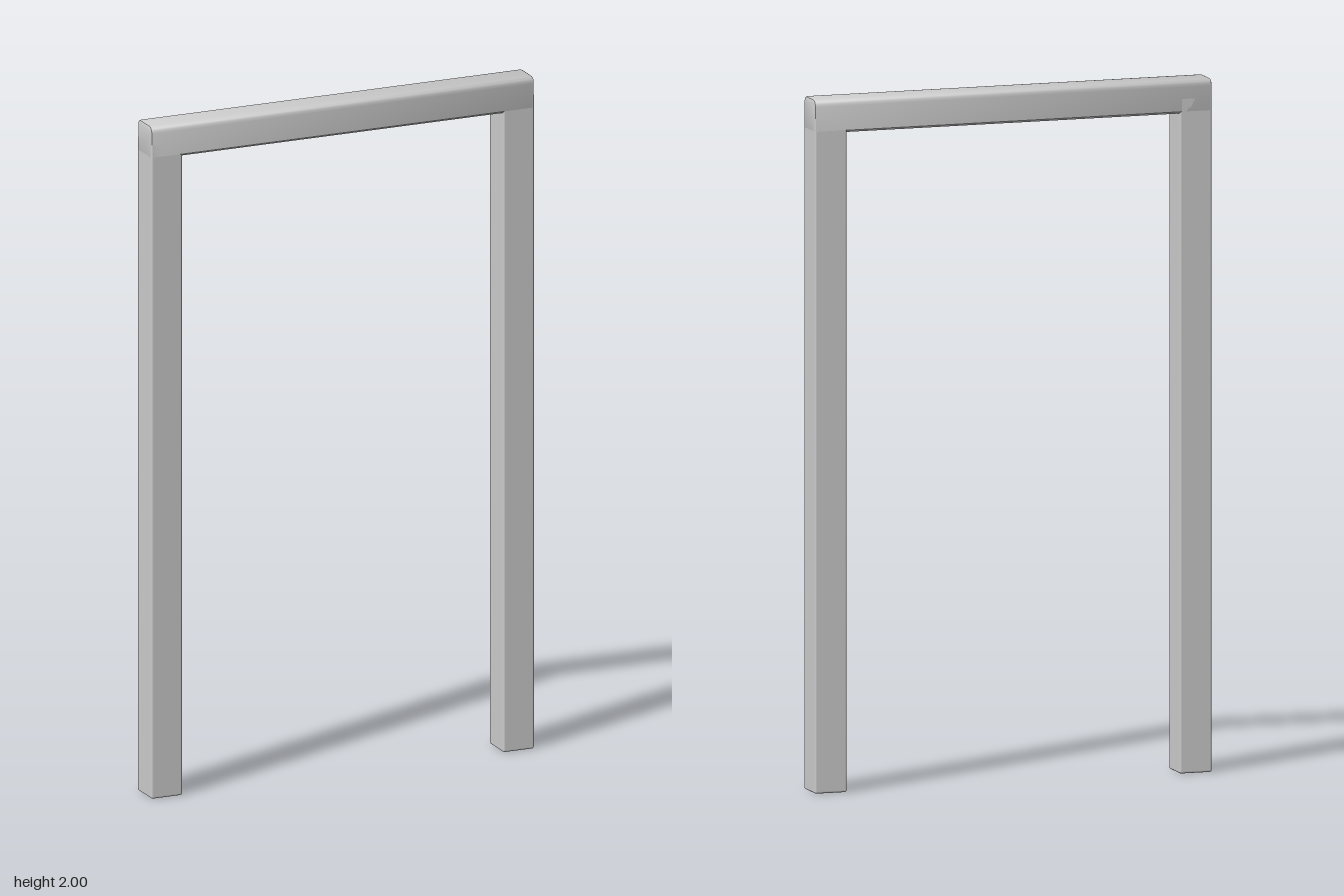
import * as THREE from 'three';
import { RoundedBoxGeometry } from 'three/addons/geometries/RoundedBoxGeometry.js';
import { toCreasedNormals } from 'three/addons/utils/BufferGeometryUtils.js';

const HALF_WIDTH = 0.598;
const HEIGHT = 2;
const BAR = 0.097; // thickness of the square bars
const EDGE = 0.006; // small softening of the edges
const TOP_RADIUS = 0.02; // larger rounding along the top

// Bar section: square below, rounded at the two upper corners
function barSection() {
  const h = BAR / 2;
  const s = new THREE.Shape();
  s.moveTo(-h + EDGE, -h);
  s.lineTo(h - EDGE, -h);
  s.lineTo(h, -h + EDGE);
  s.lineTo(h, h - TOP_RADIUS);
  s.quadraticCurveTo(h, h, h - TOP_RADIUS, h);
  s.lineTo(-h + TOP_RADIUS, h);
  s.quadraticCurveTo(-h, h, -h, h - TOP_RADIUS);
  s.lineTo(-h, -h + EDGE);
  s.closePath();
  return s;
}

export function createModel() {
  const group = new THREE.Group();
  group.name = 'doorFrame';
  const material = new THREE.MeshStandardMaterial({ color: 0xcccccc });

  // Top bar, extruded along x with slightly softened ends
  const length = 2 * HALF_WIDTH - 2 * EDGE;
  const extruded = new THREE.ExtrudeGeometry(barSection(), {
    depth: length,
    curveSegments: 5,
    bevelEnabled: true,
    bevelSize: EDGE,
    bevelOffset: -EDGE,
    bevelThickness: EDGE,
    bevelSegments: 2,
  });
  extruded.translate(0, 0, -length / 2).rotateY(Math.PI / 2);
  const topBar = new THREE.Mesh(toCreasedNormals(extruded, 0.7), material);
  topBar.name = 'topBar';
  topBar.position.y = HEIGHT - BAR / 2;
  group.add(topBar);

  // Two posts, ending inside the top bar
  const postHeight = HEIGHT - BAR / 2;
  const postGeometry = new RoundedBoxGeometry(BAR, postHeight, BAR, 2, EDGE);
  for (const side of [-1, 1]) {
    const post = new THREE.Mesh(postGeometry, material);
    post.name = side > 0 ? 'leftPost' : 'rightPost';
    post.position.set(side * (HALF_WIDTH - BAR / 2), postHeight / 2, 0);
    group.add(post);
  }
  return group;
}
